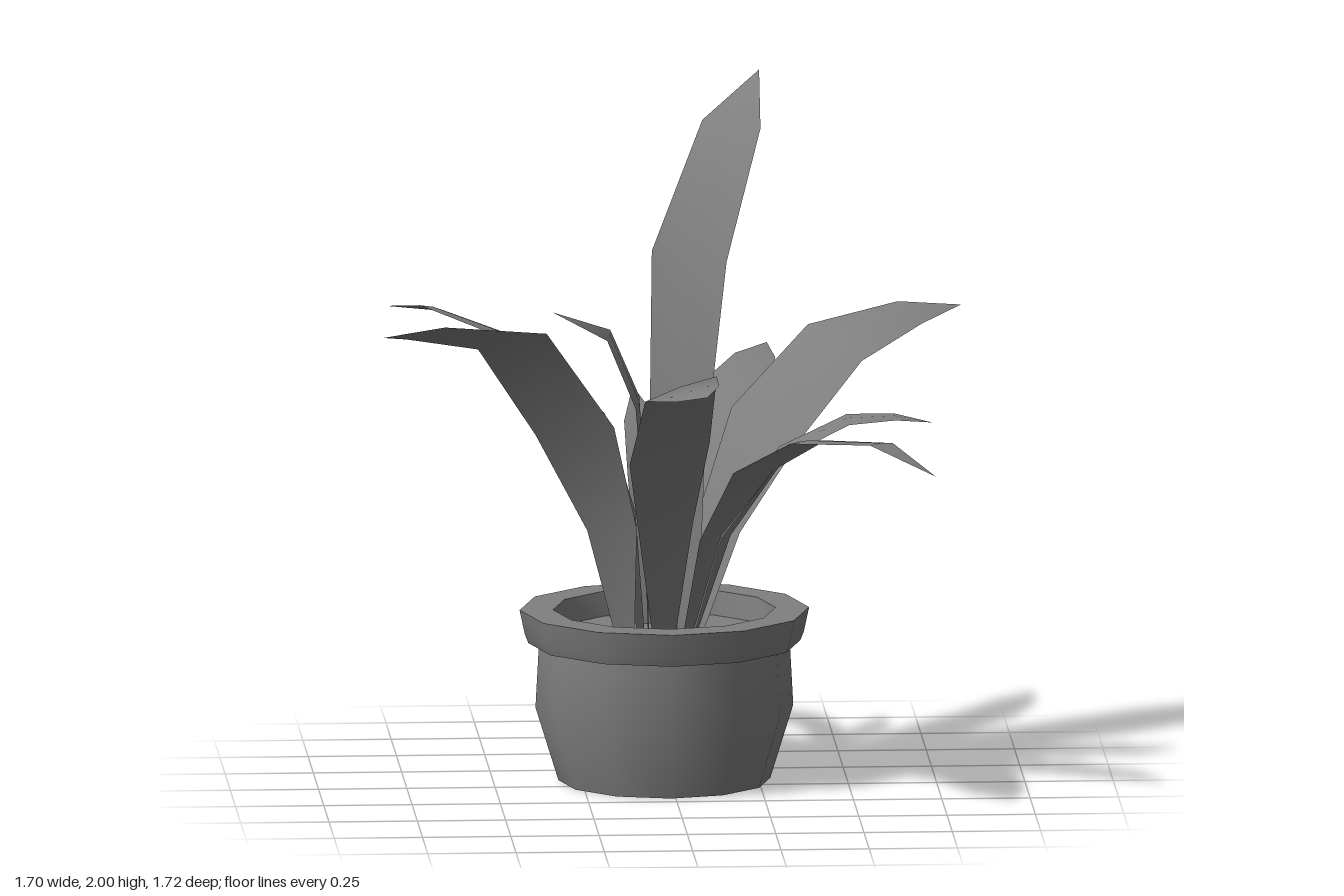
import * as THREE from 'three';
import { toCreasedNormals } from 'three/addons/utils/BufferGeometryUtils.js';

const potMaterial = new THREE.MeshStandardMaterial({ color: 0x808080 });
const leafMaterial = new THREE.MeshStandardMaterial({ color: 0x808080, side: THREE.DoubleSide });

// Ribbon through stations [x, y, z, width], three vertices each, rolled about its own length.
function leafGeometry(roll, stations) {
  const points = stations.map(([x, y, z]) => new THREE.Vector3(x, y, z));
  const last = points.length - 1;
  const reach = points[last].clone().sub(points[0]);
  const level = new THREE.Vector3(-reach.z, 0, reach.x).normalize();
  const positions = [], index = [];
  points.forEach((p, i) => {
    const width = stations[i][3];
    const along = points[Math.min(i + 1, last)].clone().sub(points[Math.max(i - 1, 0)]).normalize();
    const side = level.clone().applyAxisAngle(along, -roll);
    const up = side.clone().cross(along).normalize();
    for (const s of [-1, 0, 1]) {
      const v = p.clone().addScaledVector(side, s * width / 2);
      if (s === 0) v.addScaledVector(up, 0.03 * width); // slight midrib
      positions.push(v.x, v.y, v.z);
    }
    if (i === last) return;
    for (const j of [0, 1]) {
      const a = i * 3 + j;
      index.push(a, a + 1, a + 3, a + 1, a + 4, a + 3);
    }
  });
  const geometry = new THREE.BufferGeometry();
  geometry.setAttribute('position', new THREE.Float32BufferAttribute(positions, 3));
  geometry.setIndex(index);
  geometry.computeVertexNormals();
  return geometry;
}

// Roll of each leaf (negative lifts its left edge, seen from the root), then its stations from root to tip.
const leaves = {
  tallLeaf: [0, [[0.05, 0.42, -0.06, 0.07], [0.02, 0.95, -0.08, 0.2], [0.053, 1.51, -0.06, 0.27], [0.18, 1.865, -0.187, 0.21], [0.265, 2, -0.3, 0]]],
  frontLeaf: [-0.32, [[-0.02, 0.42, -0.02, 0.07], [-0.02, 0.75, 0.06, 0.17], [-0.02, 1, 0.24, 0.25], [0, 1.225, 0.45, 0.22], [0.03, 1.26, 0.72, 0.13], [0.05, 1.275, 0.855, 0]]],
  leftLeaf: [0, [[0.06, 0.42, -0.04, 0.08], [0.14, 0.72, -0.03, 0.16], [0.31, 0.95, -0.02, 0.19], [0.5, 1.045, -0.01, 0.17], [0.63, 1.055, 0.01, 0.11], [0.74, 1.03, -0.03, 0]]],
  backLeftLeaf: [-0.36, [[0.07, 0.42, -0.11, 0.06], [0.14, 0.72, -0.14, 0.16], [0.28, 1, -0.21, 0.27], [0.48, 1.21, -0.31, 0.24], [0.7, 1.27, -0.44, 0.13], [0.85, 1.275, -0.525, 0]]],
  backLeaf: [-0.06, [[0.04, 0.42, -0.13, 0.06], [0.08, 0.71, -0.23, 0.14], [0.14, 0.92, -0.38, 0.2], [0.21, 1.05, -0.55, 0.18], [0.28, 1.095, -0.74, 0.12], [0.32, 1.11, -0.86, 0]]],
  backRightLeaf: [-0.28, [[-0.08, 0.42, -0.13, 0.06], [-0.12, 0.75, -0.17, 0.16], [-0.22, 1.02, -0.27, 0.25], [-0.4, 1.2, -0.43, 0.23], [-0.64, 1.265, -0.61, 0.14], [-0.77, 1.26, -0.68, 0]]],
  frontRightLeaf: [-0.35, [[-0.13, 0.42, -0.04, 0.06], [-0.17, 0.74, 0.02, 0.16], [-0.28, 1.04, 0.1, 0.26], [-0.465, 1.325, 0.23, 0.25], [-0.72, 1.385, 0.41, 0.16], [-0.85, 1.4, 0.55, 0]]],
  frontLeftLeaf: [0.1, [[0.05, 0.42, -0.02, 0.06], [0.12, 0.72, 0.05, 0.14], [0.23, 0.93, 0.14, 0.21], [0.37, 1.03, 0.25, 0.18], [0.57, 1.05, 0.4, 0.12], [0.72, 0.97, 0.48, 0]]],
  smallBackLeaf: [0, [[-0.05, 0.42, -0.25, 0.04], [-0.05, 0.65, -0.27, 0.08], [-0.05, 0.82, -0.33, 0.11], [-0.06, 0.97, -0.43, 0.1], [-0.08, 1.05, -0.53, 0]]],
  smallRightLeaf: [0, [[-0.06, 0.42, -0.1, 0.05], [-0.07, 0.8, -0.11, 0.13], [-0.09, 1.08, -0.12, 0.2], [-0.17, 1.27, -0.14, 0.17], [-0.33, 1.34, -0.13, 0]]],
};

export function createModel() {
  const model = new THREE.Group();

  // Twelve-sided pot: underside, belly, flared rim and inner wall.
  const profile = [
    [0, 0], [0.3, 0], [0.365, 0.21], [0.355, 0.395], [0.385, 0.395],
    [0.395, 0.42], [0.41, 0.49], [0.315, 0.49], [0.305, 0.4],
  ].map(([r, y]) => new THREE.Vector2(r, y));
  const pot = new THREE.Mesh(toCreasedNormals(new THREE.LatheGeometry(profile, 12), 0.7), potMaterial);
  pot.name = 'pot';
  pot.position.set(-0.015, 0, -0.1);
  model.add(pot);

  // Soil inside the rim
  const soil = new THREE.Mesh(new THREE.CircleGeometry(0.31, 12), potMaterial);
  soil.name = 'soil';
  soil.rotation.x = -Math.PI / 2;
  soil.position.set(-0.015, 0.42, -0.1);
  model.add(soil);

  // Leaves
  const foliage = new THREE.Group();
  foliage.name = 'foliage';
  for (const [name, [roll, stations]] of Object.entries(leaves)) {
    const leaf = new THREE.Mesh(leafGeometry(roll, stations), leafMaterial);
    leaf.name = name;
    foliage.add(leaf);
  }
  model.add(foliage);
  return model;
}
